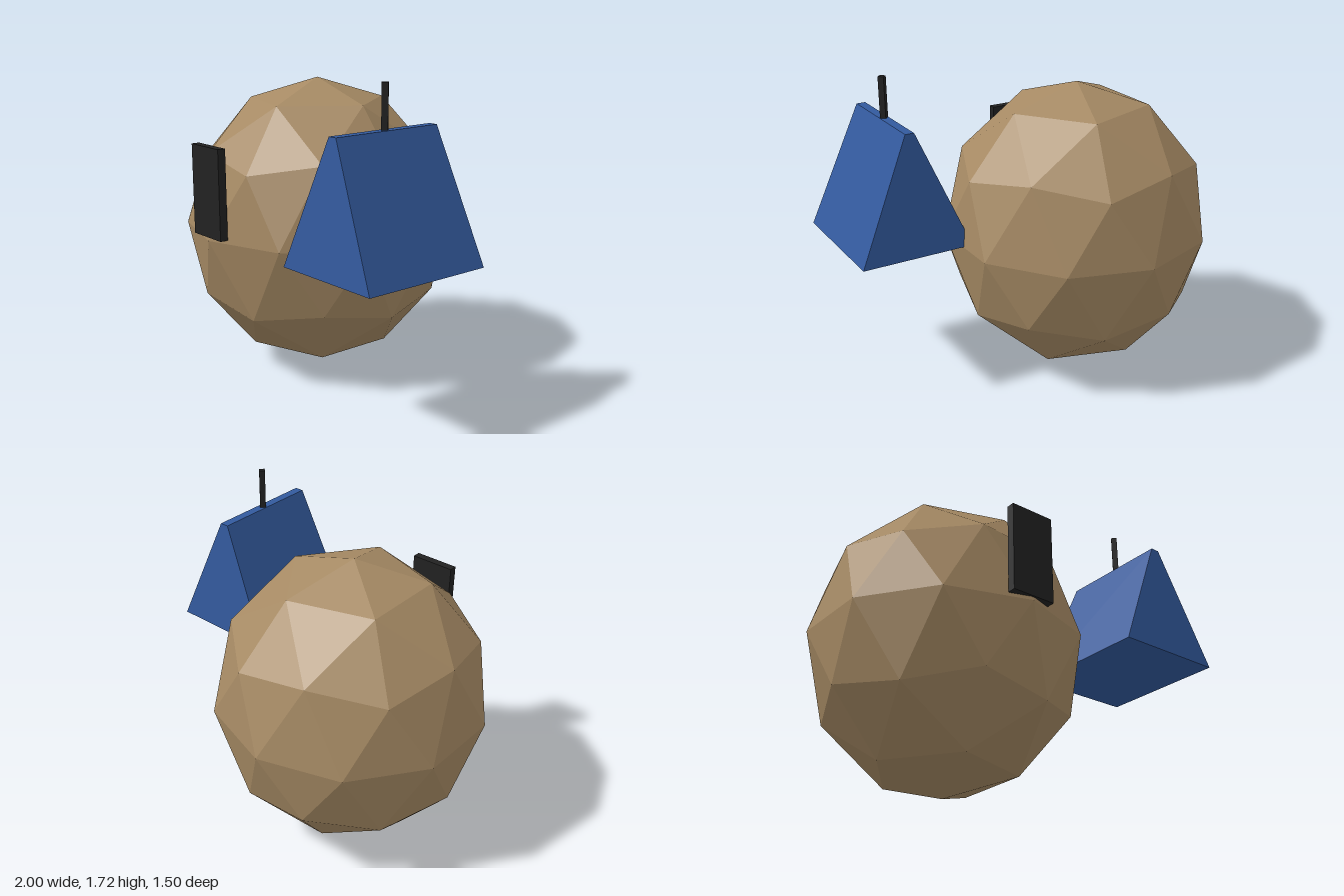
import * as THREE from 'three';

const mat = (name, color) => {
  const m = new THREE.MeshStandardMaterial({ color, flatShading: true });
  m.name = name;
  return m;
};

// Faceted ball: icosahedron with its poles on the y axis, subdivided once
function poleIcosphere() {
  const h = Math.sqrt(0.2), r = 2 * h;
  const points = [0, 1, 0], faces = [];
  for (let i = 0; i < 5; i++) {
    const a = (i * 2 * Math.PI) / 5;
    points.push(r * Math.cos(a), h, r * Math.sin(a));
  }
  for (let i = 0; i < 5; i++) {
    const a = ((i + 0.5) * 2 * Math.PI) / 5;
    points.push(r * Math.cos(a), -h, r * Math.sin(a));
  }
  points.push(0, -1, 0);
  for (let i = 0; i < 5; i++) {
    const j = (i + 1) % 5;
    const u = 1 + i, u2 = 1 + j, l = 6 + i, l2 = 6 + j;
    faces.push(0, u2, u, u, u2, l, u2, l2, l, 11, l, l2);
  }
  return new THREE.PolyhedronGeometry(points, faces, 1, 1);
}

// Box whose top face is narrowed to topW x topD
function taperedBox(w, h, d, topW, topD) {
  const g = new THREE.BoxGeometry(w, h, d);
  const p = g.attributes.position;
  for (let i = 0; i < p.count; i++) {
    if (p.getY(i) > 0) {
      p.setX(i, (Math.sign(p.getX(i)) * topW) / 2);
      p.setZ(i, (Math.sign(p.getZ(i)) * topD) / 2);
    }
  }
  g.computeVertexNormals();
  return g;
}

export function createModel() {
  const model = new THREE.Group();
  const tan = mat('tan', 0xa68a64);
  const blue = mat('blue', 0x335a9e);
  const black = mat('black', 0x222222);

  const add = (name, geometry, material, x, y, z) => {
    const mesh = new THREE.Mesh(geometry, material);
    mesh.name = name;
    mesh.position.set(x, y, z);
    model.add(mesh);
  };

  // Main ball, slightly taller than wide
  add('ball', poleIcosphere().scale(0.747, 0.82, 0.747), tan, -0.29, 0.822, 0);

  // Flat panel in front of the ball
  add('frontPanel', new THREE.BoxGeometry(0.25, 0.488, 0.045), black, -0.29, 1.087, 0.728);

  // Ridged wedge at the side with a thin post on its ridge
  add('wedge', taperedBox(0.632, 0.67, 0.735, 0.05, 0.635), blue, 0.682, 1.16, 0.368);
  add('post', new THREE.CylinderGeometry(0.023, 0.023, 0.24, 4), black, 0.682, 1.6, 0.368);

  return model;
}
